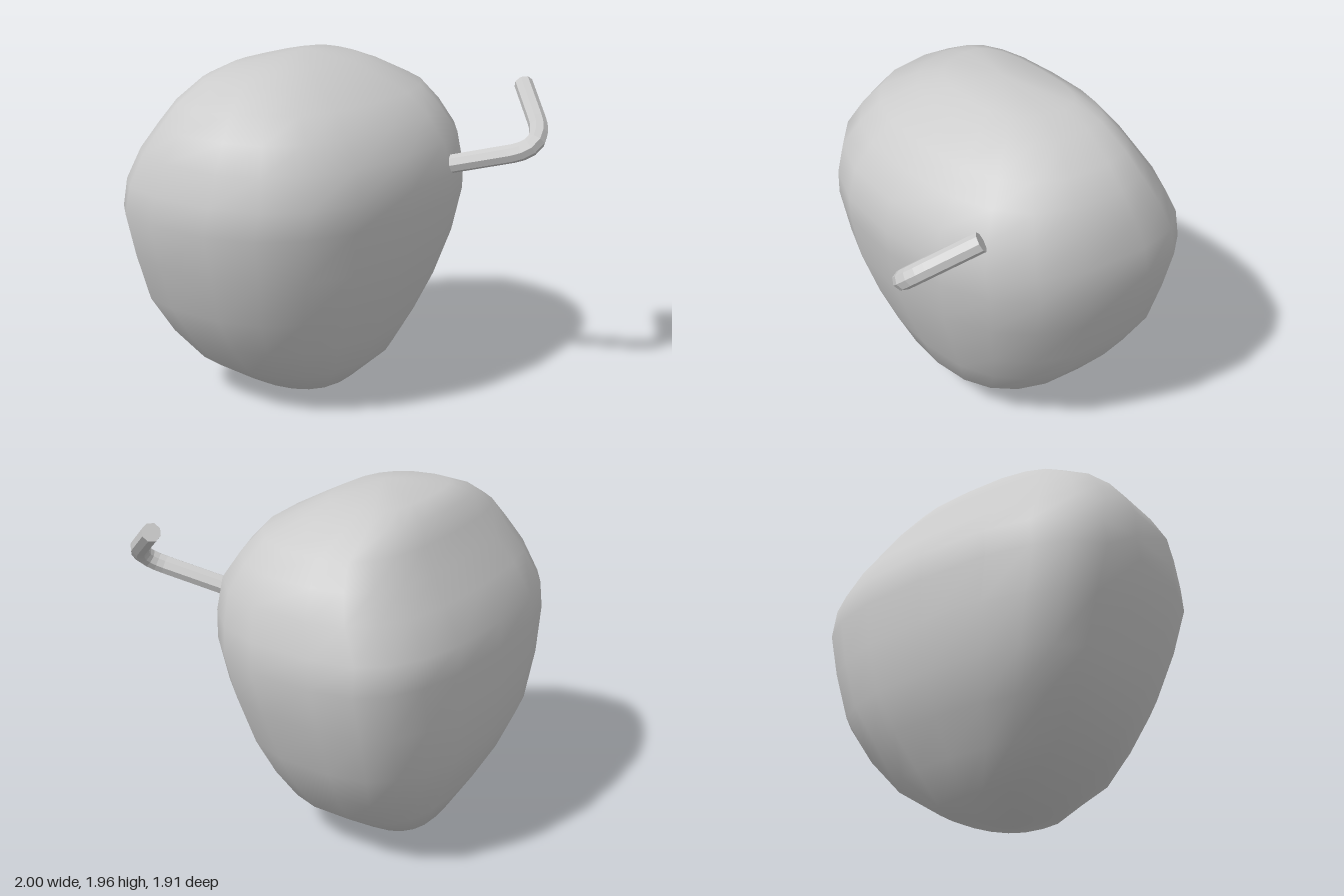
import * as THREE from 'three';

const grey = () => new THREE.MeshStandardMaterial({ color: 0xcccccc });

// Horizontal sections of the body: height, half width, front z, back z
const SECTIONS = [
  [0.055, 0.29, 0.05, -0.59], [0.23, 0.56, 0.23, -0.7], [0.42, 0.72, 0.32, -0.81],
  [0.63, 0.845, 0.41, -0.9], [0.9, 0.93, 0.505, -0.94], [1.15, 1.0, 0.545, -0.945],
  [1.3, 0.97, 0.56, -0.94], [1.48, 0.935, 0.52, -0.835], [1.62, 0.85, 0.42, -0.74],
  [1.74, 0.75, 0.31, -0.665], [1.84, 0.56, 0.12, -0.6], [1.9, 0.4, 0, -0.5],
];
const SIDES = 20;

// Rounded body: blunt at the back, fuller toward the front, narrowing downward
function bodyGeometry() {
  const pos = [], index = [];
  const bend = (v, p) => Math.sign(v) * Math.abs(v) ** (2 / p);
  for (const [y, w, front, back] of SECTIONS) {
    const zc = back + 0.37 * (front - back); // widest line
    for (let j = 0; j < SIDES; j++) {
      const a = (j / SIDES) * Math.PI * 2, s = Math.sin(a);
      const p = s > 0 ? 2.5 : 2.7;
      const depth = s > 0 ? front - zc : zc - back;
      pos.push(w * bend(Math.cos(a), p), y, zc + depth * bend(s, p));
    }
  }
  const top = SECTIONS.length * SIDES, bottom = top + 1;
  pos.push(0, 1.96, -0.23, 0, 0, -0.2);
  const last = top - SIDES;
  for (let j = 0; j < SIDES; j++) {
    const k = (j + 1) % SIDES;
    for (let o = 0; o < last; o += SIDES) {
      const a = o + j, b = o + k, c = a + SIDES, d = b + SIDES;
      index.push(a, c, b, b, c, d);
    }
    index.push(last + j, top, last + k, j, k, bottom);
  }
  const g = new THREE.BufferGeometry();
  g.setAttribute('position', new THREE.Float32BufferAttribute(pos, 3));
  g.setIndex(index);
  g.computeVertexNormals();
  return g;
}

// Bent rod with faceted sides and flat ends
function bentRod() {
  const rod = new THREE.Group();
  rod.name = 'bentRod';
  const v = (x, y, z) => new THREE.Vector3(x, y, z);
  const a = v(0.42, 1.34, 0.46), b = v(0.54, 1.445, 0.82);
  const corner = v(0.6, 1.495, 0.975), c = v(0.7, 1.59, 0.86), d = v(0.87, 1.75, 0.64);
  const path = new THREE.CurvePath();
  path.add(new THREE.LineCurve3(a, b));
  path.add(new THREE.QuadraticBezierCurve3(b, corner, c));
  path.add(new THREE.LineCurve3(c, d));
  const material = grey();
  material.flatShading = true;
  const sides = 8, steps = 20;
  const tube = new THREE.TubeGeometry(path, steps, 0.052, sides, false);
  const shaft = new THREE.Mesh(tube, material);
  shaft.name = 'rodShaft';
  rod.add(shaft);

  // Caps reuse the end rings of the shaft
  const capMaterial = material.clone();
  capMaterial.side = THREE.DoubleSide;
  for (const [name, ring] of [['rodInnerCap', 0], ['rodOuterCap', steps]]) {
    const points = [], index = [];
    for (let j = 0; j < sides; j++) {
      points.push(v().fromBufferAttribute(tube.attributes.position, ring * (sides + 1) + j));
      if (j > 1) index.push(0, ...(ring ? [j - 1, j] : [j, j - 1]));
    }
    const g = new THREE.BufferGeometry().setFromPoints(points);
    g.setIndex(index);
    g.computeVertexNormals();
    const cap = new THREE.Mesh(g, capMaterial);
    cap.name = name;
    rod.add(cap);
  }
  return rod;
}

export function createModel() {
  const model = new THREE.Group();
  const body = new THREE.Mesh(bodyGeometry(), grey());
  body.name = 'body';
  model.add(body, bentRod());
  return model;
}
